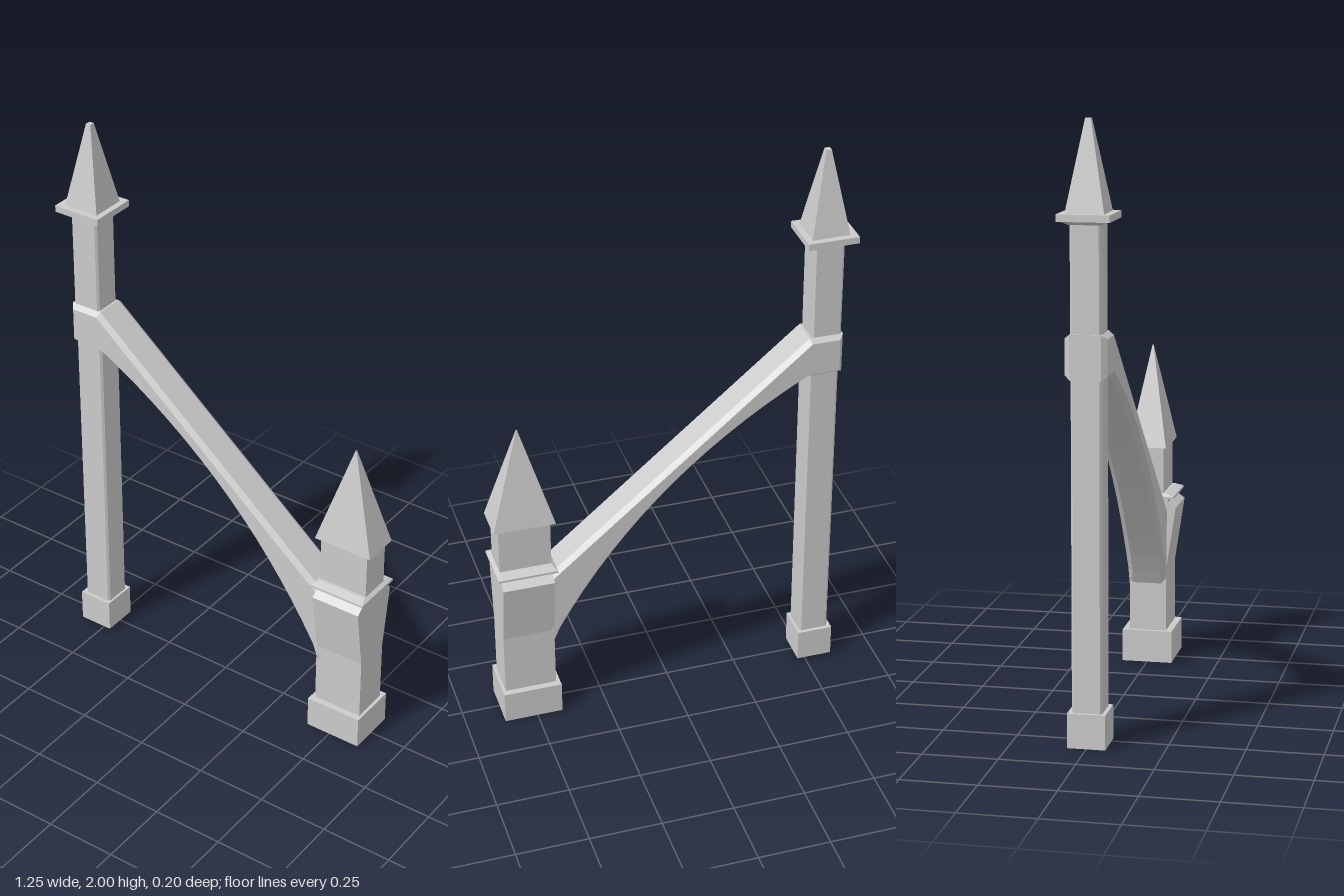
import * as THREE from 'three';

const material = new THREE.MeshStandardMaterial({ color: 0xcccccc, flatShading: true });

function add(group, name, geometry) {
  const mesh = new THREE.Mesh(geometry, material);
  mesh.name = name;
  group.add(mesh);
  return mesh;
}

// Four-sided block whose bottom and top can differ in [width, depth].
function block(group, name, x, y0, y1, bottom, top = bottom) {
  const geometry = new THREE.BoxGeometry(1, 1, 1);
  const p = geometry.attributes.position;
  for (let i = 0; i < p.count; i++) {
    const isTop = p.getY(i) > 0;
    const [w, d] = isTop ? top : bottom;
    p.setXYZ(i, x + p.getX(i) * w, isTop ? y1 : y0, p.getZ(i) * d);
  }
  geometry.computeVertexNormals();
  return add(group, name, geometry);
}

// Square shaft with narrow chamfers on its four upright edges.
function chamferedShaft(group, name, x, y0, y1, w, d, c) {
  const a = w / 2, b = d / 2;
  const shape = new THREE.Shape([
    [a - c, -b], [a, c - b], [a, b - c], [a - c, b],
    [c - a, b], [-a, b - c], [-a, c - b], [c - a, -b],
  ].map(([u, v]) => new THREE.Vector2(u, v)));
  const geometry = new THREE.ExtrudeGeometry(shape, { depth: y1 - y0, bevelEnabled: false });
  geometry.rotateX(-Math.PI / 2).translate(x, y0, 0);
  return add(group, name, geometry);
}

function createColumn() {
  const column = new THREE.Group();
  column.name = 'tallColumn';
  block(column, 'columnBase', -0.537, 0, 0.115, [0.125, 0.125]);
  chamferedShaft(column, 'lowerShaft', -0.535, 0.115, 1.25, 0.105, 0.1, 0.007);
  chamferedShaft(column, 'upperShaft', -0.54, 1.25, 1.69, 0.105, 0.1, 0.007);
  block(column, 'capUnderside', -0.54, 1.675, 1.69, [0.11, 0.105], [0.165, 0.16]);
  block(column, 'cap', -0.54, 1.687, 1.71, [0.175, 0.17]);
  block(column, 'columnSpire', -0.538, 1.71, 2, [0.13, 0.125], [0.018, 0.018]);
  return column;
}

function createPier() {
  const pier = new THREE.Group();
  pier.name = 'pier';
  const x = 0.515;
  block(pier, 'pierBase', x - 0.002, 0, 0.115, [0.205, 0.178]);

  // Flared body: half profile in z and y, mirrored and run along x.
  const half = [[0.066, 0.1], [0.066, 0.34], [0.1, 0.565], [0.072, 0.585], [0.072, 0.602]];
  const outline = [...half, ...half.map(([z, y]) => [-z, y]).reverse()];
  const shape = new THREE.Shape(outline.map(([z, y]) => new THREE.Vector2(z, y)));
  const body = new THREE.ExtrudeGeometry(shape, { depth: 0.18, bevelEnabled: false });
  body.translate(0, 0, -0.09).rotateY(Math.PI / 2).translate(x, 0, 0);
  add(pier, 'flaredBody', body);

  block(pier, 'band', x, 0.6, 0.608, [0.206, 0.188]);
  block(pier, 'bandSlope', x, 0.608, 0.617, [0.206, 0.188], [0.18, 0.13]);
  block(pier, 'pierNeck', x, 0.61, 0.79, [0.18, 0.11]);
  block(pier, 'pierSpire', x, 0.783, 1.135, [0.215, 0.134], [0.004, 0.004]);
  return pier;
}

// Sloping arm: straight top, arched underside, chamfered edges.
function createArm() {
  const shape = new THREE.Shape();
  shape.moveTo(-0.597, 1.19);
  shape.lineTo(-0.597, 1.335);
  shape.lineTo(-0.48, 1.335);
  shape.lineTo(0.44, 0.56);
  shape.lineTo(0.44, 0.26);
  shape.quadraticCurveTo(0.12, 0.87, -0.48, 1.19);
  shape.closePath();
  const geometry = new THREE.ExtrudeGeometry(shape, {
    depth: 0.1, curveSegments: 16, bevelEnabled: true, bevelSegments: 1,
    bevelThickness: 0.018, bevelSize: 0.014, bevelOffset: -0.014,
  });
  geometry.translate(0, 0, -0.05);
  return new THREE.Mesh(geometry, material);
}

export function createModel() {
  const model = new THREE.Group();
  model.name = 'flyingButtress';
  const arm = createArm();
  arm.name = 'archedArm';
  model.add(createColumn(), createPier(), arm);
  return model;
}
